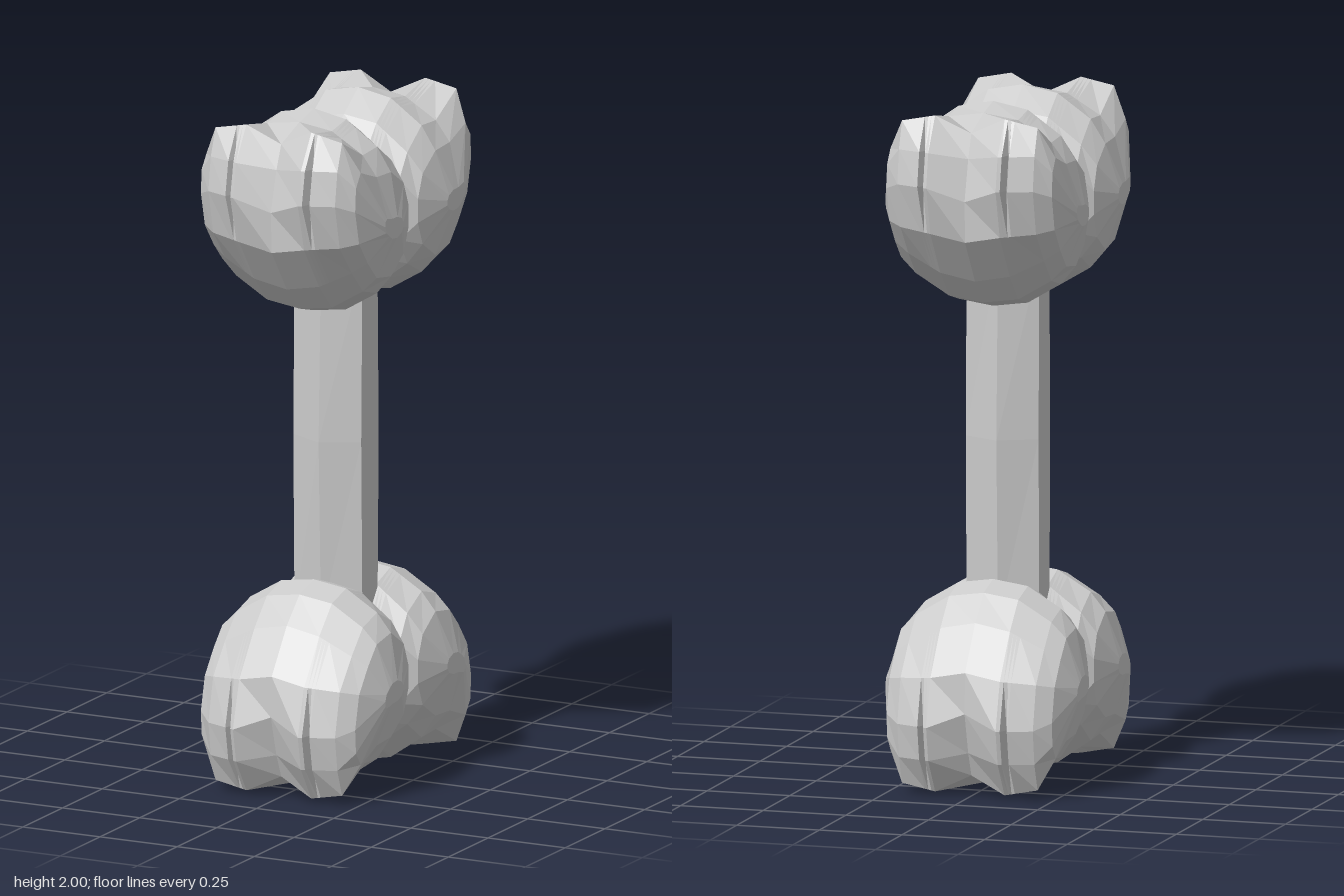
import * as THREE from 'three';

const material = new THREE.MeshStandardMaterial({ color: 0xcccccc, flatShading: true });

// Outlines (z, y) of a knob at growing distance x from its middle plane:
// over the top, down the outer end, back along the underside.
const sections = [
  { x: 0, p: [[0, 1.9], [.05, 1.94], [.14, 2], [.23, 1.98], [.345, 1.94], [.375, 1.87], [.41, 1.75], [.405, 1.63], [.31, 1.5], [.23, 1.425], [.14, 1.4], [.05, 1.425], [0, 1.48]] },
  { x: .105, p: [[0, 1.87], [.05, 1.925], [.14, 1.98], [.23, 1.965], [.36, 1.99], [.425, 1.89], [.445, 1.79], [.405, 1.65], [.31, 1.52], [.23, 1.44], [.14, 1.415], [.05, 1.445], [0, 1.51]] },
  { x: .205, p: [[0, 1.78], [.05, 1.85], [.14, 1.91], [.23, 1.905], [.36, 1.97], [.39, 1.89], [.405, 1.79], [.375, 1.66], [.3, 1.57], [.23, 1.5], [.14, 1.475], [.05, 1.52], [0, 1.6]] },
  { x: .25, p: [[.03, 1.72], [.06, 1.79], [.14, 1.84], [.23, 1.845], [.33, 1.88], [.36, 1.84], [.365, 1.77], [.34, 1.67], [.285, 1.6], [.23, 1.545], [.14, 1.53], [.06, 1.58], [.03, 1.65]] },
];

// Small rounded end section at the widest point of the knob
sections.push({
  x: .29,
  p: sections[3].p.map(([z, y]) => [.195 + (z - .195) * .34, 1.69 + (y - 1.69) * .2]),
});

// Section between the two middle outlines; depth pulls the outer end inwards as a slit
function between(x, depth) {
  const a = sections[1], b = sections[2], t = (x - a.x) / (b.x - a.x);
  const p = a.p.map(([z, y], j) => [
    THREE.MathUtils.lerp(z, b.p[j][0], t) - (j === 5 || j === 6 ? depth : 0),
    THREE.MathUtils.lerp(y, b.p[j][1], t),
  ]);
  return { x, p };
}

function knobGeometry() {
  const half = [
    sections[0], sections[1],
    between(.116, 0), between(.126, .03), between(.136, 0),
    ...sections.slice(2),
  ];
  const mirrored = half.slice(1).reverse().map(({ x, p }) => ({ x: -x, p }));
  const columns = [...mirrored, ...half];
  const n = half[0].p.length, positions = [], index = [];
  columns.forEach(({ x, p }) => p.forEach(([z, y]) => positions.push(x, y - 1, z)));
  for (let i = 0; i < columns.length - 1; i++) {
    for (let j = 0; j < n; j++) {
      const k = (j + 1) % n;
      const a = i * n + j, b = i * n + k, c = b + n, d = a + n;
      index.push(a, b, c, a, c, d);
    }
  }
  // End caps
  const last = (columns.length - 1) * n;
  for (let j = 1; j < n - 1; j++) {
    index.push(last, last + j, last + j + 1, 0, j + 1, j);
  }
  const geometry = new THREE.BufferGeometry();
  geometry.setAttribute('position', new THREE.Float32BufferAttribute(positions, 3));
  geometry.setIndex(index);
  geometry.computeVertexNormals();
  return geometry;
}

// Six-sided shaft, slightly thicker halfway up
function shaftGeometry() {
  const geometry = new THREE.CylinderGeometry(.11, .11, 1.06, 6, 2);
  const pos = geometry.attributes.position;
  for (let i = 0; i < pos.count; i++) {
    const end = Math.abs(pos.getY(i)) > .1;
    pos.setX(i, pos.getX(i) * 1.155);
    pos.setZ(i, pos.getZ(i) * (end ? .86 : 1));
  }
  geometry.computeVertexNormals();
  return geometry;
}

export function createModel() {
  const group = new THREE.Group();
  group.name = 'bone';

  const shaft = new THREE.Mesh(shaftGeometry(), material);
  shaft.name = 'shaft';
  shaft.position.y = 1;
  group.add(shaft);

  // Four equal knobs, turned into place about the centre
  const geometry = knobGeometry();
  const places = {
    topFrontKnob: [0, 0, 0],
    topBackKnob: [0, Math.PI, 0],
    bottomFrontKnob: [0, 0, Math.PI],
    bottomBackKnob: [Math.PI, 0, 0],
  };
  for (const [name, turn] of Object.entries(places)) {
    const knob = new THREE.Mesh(geometry, material);
    knob.name = name;
    knob.position.y = 1;
    knob.rotation.set(...turn);
    group.add(knob);
  }
  return group;
}
